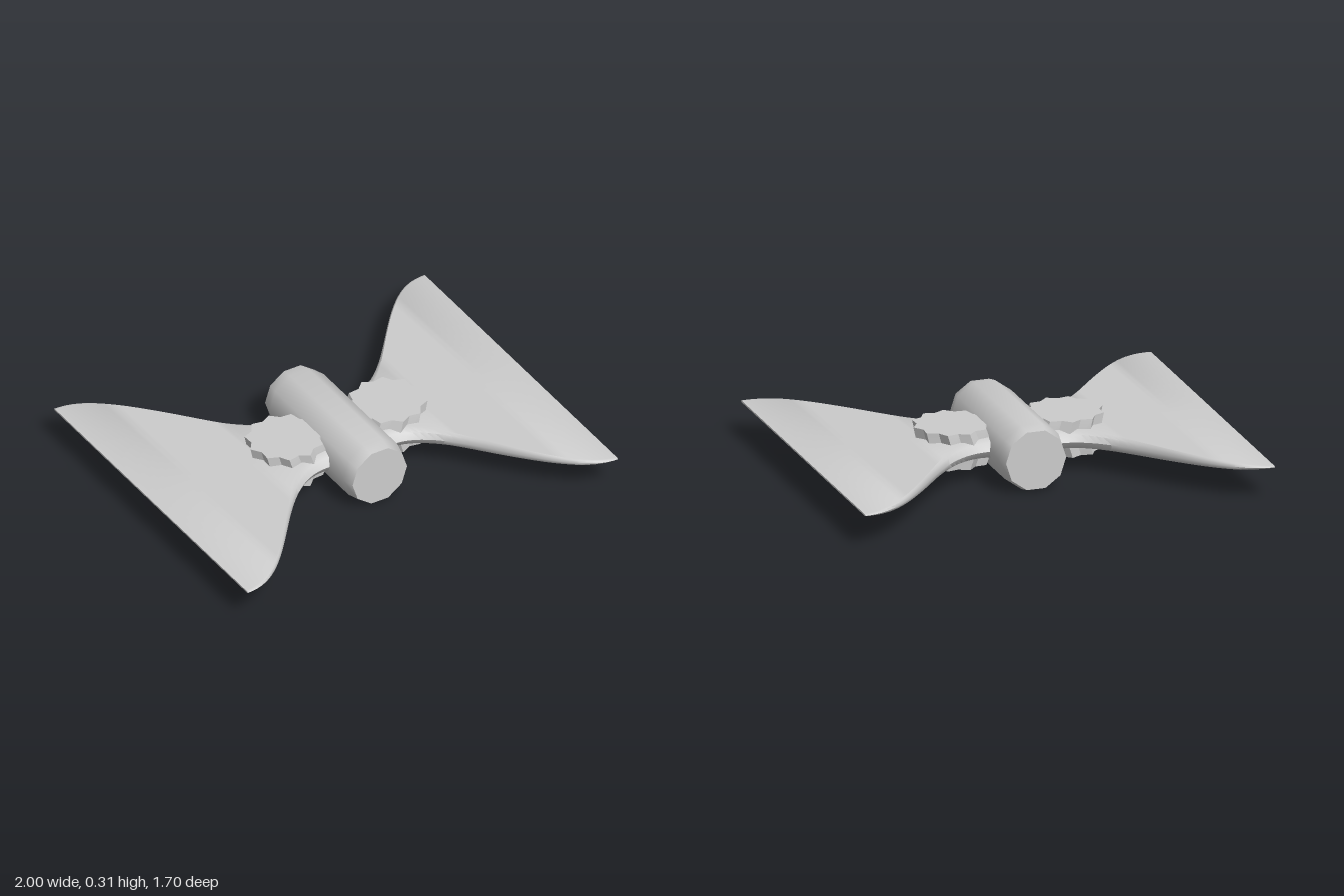
import * as THREE from 'three';
import { toCreasedNormals } from 'three/addons/utils/BufferGeometryUtils.js';

const MID = 0.157; // height of the centre plane

// Closed solid through equal-sized rings, capped at both ends
function loft(rings, crease) {
  const n = rings[0].length;
  const pos = [];
  const index = [];
  rings.forEach((r) => r.forEach((p) => pos.push(...p)));
  for (let k = 0; k < rings.length - 1; k++) {
    for (let i = 0; i < n; i++) {
      const a = k * n + i, b = k * n + (i + 1) % n;
      index.push(a, b, b + n, a, b + n, a + n);
    }
  }
  [0, rings.length - 1].forEach((k) => {
    const c = pos.length / 3;
    pos.push(...[0, 1, 2].map((d) => rings[k].reduce((s, p) => s + p[d], 0) / n));
    for (let i = 0; i < n; i++) {
      const a = k * n + i, b = k * n + (i + 1) % n;
      if (k === 0) index.push(c, b, a);
      else index.push(c, a, b);
    }
  });
  const g = new THREE.BufferGeometry();
  g.setAttribute('position', new THREE.Float32BufferAttribute(pos, 3));
  g.setIndex(index);
  return toCreasedNormals(g, crease);
}

// Ten-sided barrel along z with slightly narrowed ends
function bodyGeometry() {
  const profile = [[-0.383, 0.147], [-0.32, 0.162], [0.32, 0.162], [0.383, 0.147]];
  return loft(profile.map(([z, r]) => Array.from({ length: 10 }, (_, i) => {
    const a = i * Math.PI / 5;
    return [r * Math.cos(a), 0.155 + r * Math.sin(a), z];
  })), 0.7);
}

// Flared blade: deep and thin at the tip, narrow and thick at the root
function wingGeometry() {
  const rings = [];
  const steps = 32;
  for (let k = 0; k <= steps; k++) {
    const x = 0.08 + 0.92 * k / steps;
    const t = THREE.MathUtils.clamp((x - 0.18) / 0.82, 0, 1);
    const d = 0.205 + 0.645 * (1 - Math.cos(Math.PI * t)) / 2;
    const h = x < 0.86 ? 0.015 + 0.036 * (0.86 - x) / 0.7 : 0.004 + 0.011 * (1 - x) / 0.14;
    const b = THREE.MathUtils.lerp(0.07, 0.015, THREE.MathUtils.smoothstep(x, 0.15, 0.6));
    const half = [[h, -d + b], [h, 0], [h, d - b], [h * 0.7, d - b * 0.35], [0, d]];
    const low = [[-h * 0.7, d - b * 0.35], [-h, d - b], [-h, 0], [-h, -d + b],
      [-h * 0.7, -d + b * 0.35], [0, -d], [h * 0.7, -d + b * 0.35]];
    rings.push([...half, ...low].map(([y, z]) => [x, MID + y, z]));
  }
  return loft(rings, 0.7);
}

// Eleven-pointed star block passing through the wing root
function starGeometry() {
  const levels = [[0.071, 0.277, 0.185], [MID, 0.25, 0.193], [0.244, 0.277, 0.185]];
  return loft(levels.map(([y, cx, r]) => Array.from({ length: 22 }, (_, i) => {
    const a = i * Math.PI / 11;
    const q = i % 2 ? r * 0.86 : r;
    return [cx + q * Math.cos(a), y, -q * Math.sin(a)];
  })), 0.3);
}

export function createModel() {
  const group = new THREE.Group();
  const grey = new THREE.MeshStandardMaterial({ color: 0xcccccc });
  grey.name = 'light grey';

  const add = (name, geometry, turn = 0) => {
    const mesh = new THREE.Mesh(geometry, grey);
    mesh.name = name;
    mesh.rotation.y = turn;
    group.add(mesh);
  };

  add('body', bodyGeometry());
  const wing = wingGeometry();
  const star = starGeometry();
  [['left', 0], ['right', Math.PI]].forEach(([side, turn]) => {
    add(side + 'Wing', wing, turn);
    add(side + 'StarBlock', star, turn);
  });
  return group;
}
